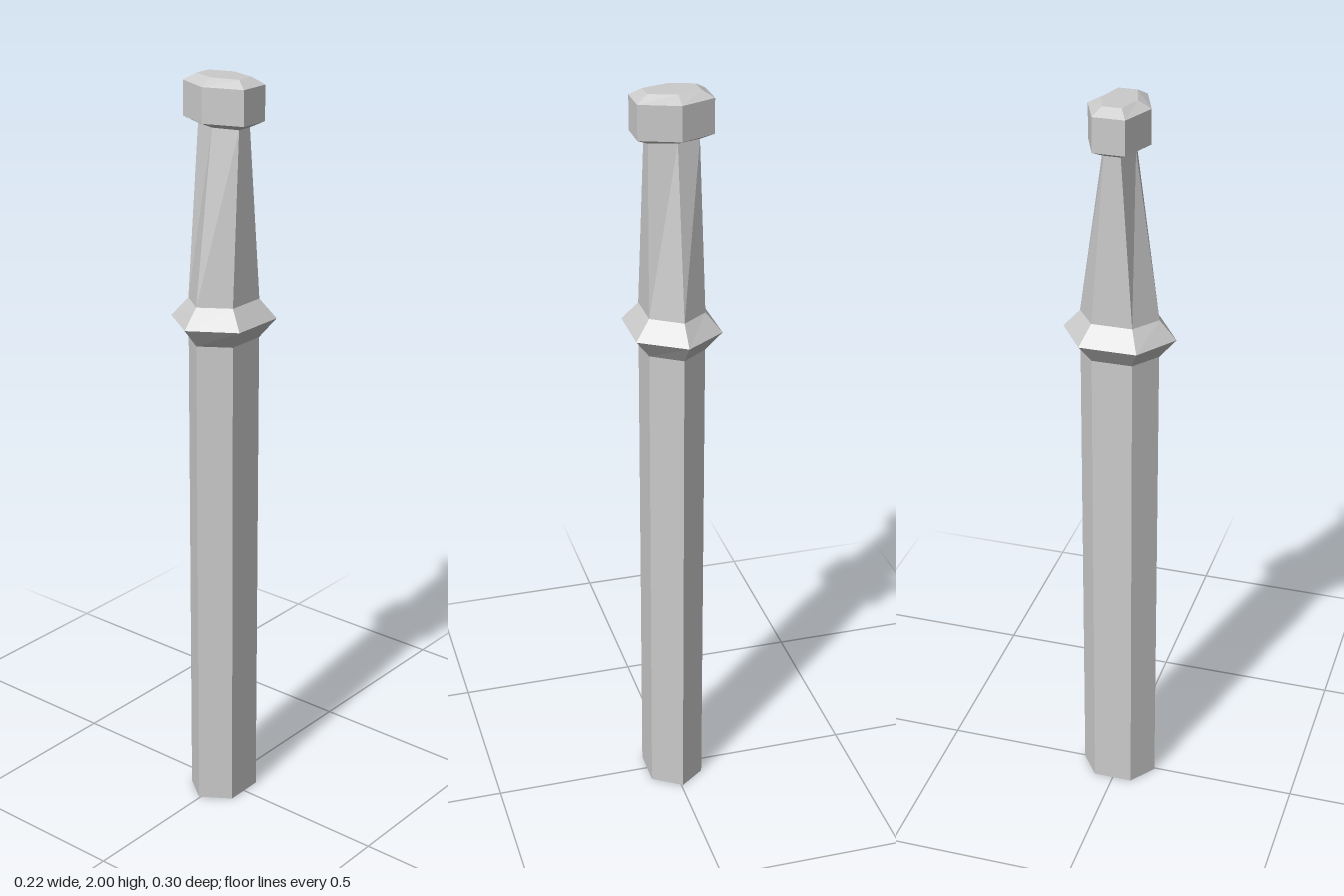
import * as THREE from 'three';

const material = new THREE.MeshStandardMaterial({ color: 0xcccccc, flatShading: true });
const RIDGE_X = -0.004; // the front and back ridges sit slightly off centre

// Six-sided ring: half width hx, ridge depth hz, side-corner depth sz
function ring([y, hx, hz, sz]) {
  return [
    [RIDGE_X, y, hz], [hx, y, sz], [hx, y, -sz],
    [RIDGE_X, y, -hz], [-hx, y, -sz], [-hx, y, sz],
  ];
}

// Joins rings from bottom to top, with optional flat end caps
function loft(name, sections, capBottom = false, capTop = false) {
  const rings = sections.map(ring);
  const pos = [];
  const tri = (...points) => points.forEach((p) => pos.push(...p));
  for (let r = 0; r < rings.length - 1; r++) {
    for (let i = 0; i < 6; i++) {
      const j = (i + 1) % 6;
      const low = rings[r], high = rings[r + 1];
      tri(low[i], low[j], high[j]);
      tri(low[i], high[j], high[i]);
    }
  }
  const first = rings[0], last = rings[rings.length - 1];
  for (let i = 1; i < 5; i++) {
    if (capBottom) tri(first[0], first[i + 1], first[i]);
    if (capTop) tri(last[0], last[i], last[i + 1]);
  }
  const geometry = new THREE.BufferGeometry();
  geometry.setAttribute('position', new THREE.Float32BufferAttribute(pos, 3));
  geometry.computeVertexNormals();
  const mesh = new THREE.Mesh(geometry, material);
  mesh.name = name;
  return mesh;
}

export function createModel() {
  const group = new THREE.Group();
  group.name = 'post';

  // Sections shared between neighbouring parts: [y, hx, hz, sz]
  const shaftTop = [1.33, 0.073, 0.104, 0.053];
  const collarTop = [1.433, 0.073, 0.104, 0.053];
  const neckTop = [1.877, 0.065, 0.041, 0.021];

  group.add(
    // Straight shaft
    loft('shaft', [[0, 0.073, 0.104, 0.053], shaftTop], true),
    // Pointed collar
    loft('collar', [shaftTop, [1.383, 0.112, 0.149, 0.075], collarTop]),
    // Neck, tapering mostly front to back
    loft('neck', [collarTop, neckTop]),
    // Bevelled head
    loft('head', [
      neckTop,
      [1.893, 0.096, 0.079, 0.041],
      [1.982, 0.096, 0.079, 0.041],
      [2, 0.067, 0.045, 0.024],
    ], false, true),
  );
  return group;
}
